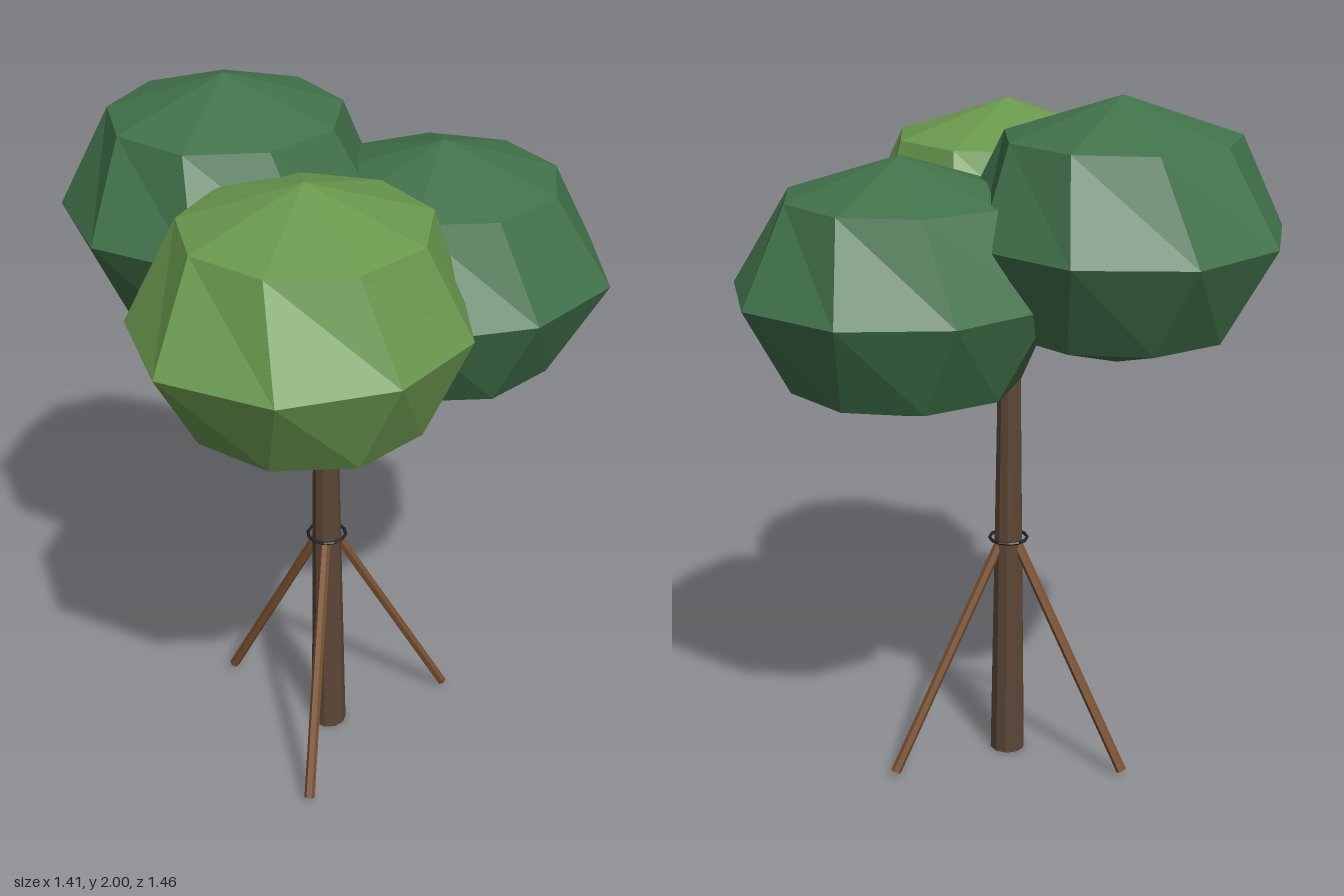
import * as THREE from 'three';

const SIDES = 9;
const TRUNK = { x: -0.1, z: 0.02 };

const material = (color) =>
  new THREE.MeshStandardMaterial({ color, flatShading: true });

function addMesh(group, name, geometry, mat, x = 0, y = 0, z = 0) {
  const mesh = new THREE.Mesh(geometry, mat);
  mesh.name = name;
  mesh.position.set(x, y, z);
  group.add(mesh);
  return mesh;
}

// Faceted crown: four bands, slightly uneven radii, alternate rings twisted
function crownGeometry(radii) {
  const geometry = new THREE.SphereGeometry(1, SIDES, 4);
  const pos = geometry.attributes.position;
  for (let ring = 0; ring <= 4; ring++) {
    const polar = (ring * Math.PI) / 4;
    const twist = ring % 2 ? 0.14 : 0;
    for (let j = 0; j <= SIDES; j++) {
      const k = (SIDES - (j % SIDES)) % SIDES;
      const angle = (k * 2 * Math.PI) / SIDES + twist;
      // Off-equator rings vary less than the widest ring
      const base = ring === 2 ? radii[k] : 0.453 + 0.3 * (radii[(k + 4) % SIDES] - 0.45);
      const r = base * Math.sin(polar);
      pos.setXYZ(ring * (SIDES + 1) + j, r * Math.cos(angle), 0.36 * Math.cos(polar), r * Math.sin(angle));
    }
  }
  geometry.computeVertexNormals();
  return geometry;
}

// Straight round pole between two points
function addPole(group, name, from, to, radius, mat) {
  const direction = to.clone().sub(from);
  const pole = addMesh(group, name, new THREE.CylinderGeometry(radius, radius, direction.length(), 6), mat);
  pole.position.copy(from).add(to).multiplyScalar(0.5);
  pole.quaternion.setFromUnitVectors(new THREE.Vector3(0, 1, 0), direction.normalize());
}

export function createModel() {
  const tree = new THREE.Group();
  tree.name = 'stakedTree';

  const bark = material(0x5c4736);
  const stakeWood = material(0x7a5230);
  const tieBlack = material(0x222222);
  const darkLeaf = material(0x41724a);
  const lightLeaf = material(0x6a994e);

  // Tapered trunk
  addMesh(tree, 'trunk', new THREE.CylinderGeometry(0.03, 0.052, 1.42, 10), bark, TRUNK.x, 0.71, TRUNK.z);

  // Three leaning support stakes
  for (let i = 0; i < 3; i++) {
    const a = (i * 2 * Math.PI) / 3;
    const at = (r, y) => new THREE.Vector3(TRUNK.x + r * Math.cos(a), y, TRUNK.z + r * Math.sin(a));
    addPole(tree, 'supportStake' + (i + 1), at(0.385, 0.02), at(0.022, 0.69), 0.015, stakeWood);
  }

  // Tie around the trunk where the stakes meet
  const tie = addMesh(tree, 'trunkTie', new THREE.TorusGeometry(0.055, 0.005, 6, 12), tieBlack, TRUNK.x, 0.69, TRUNK.z);
  tie.rotation.x = Math.PI / 2;

  // Leaf crowns, with equator radii listed counter from +x towards +z
  const crowns = [
    ['leftCrown', darkLeaf, [0.241, 1.485, 0.016],
      [0.463, 0.467, 0.441, 0.45, 0.44, 0.45, 0.45, 0.438, 0.448]],
    ['backCrown', darkLeaf, [-0.26, 1.64, -0.276],
      [0.435, 0.44, 0.45, 0.45, 0.453, 0.451, 0.446, 0.465, 0.453]],
    ['frontCrown', lightLeaf, [-0.26, 1.56, 0.305],
      [0.425, 0.43, 0.43, 0.455, 0.472, 0.449, 0.45, 0.45, 0.45]],
  ];
  for (const [name, mat, center, radii] of crowns) {
    addMesh(tree, name, crownGeometry(radii), mat, ...center);
  }

  return tree;
}
